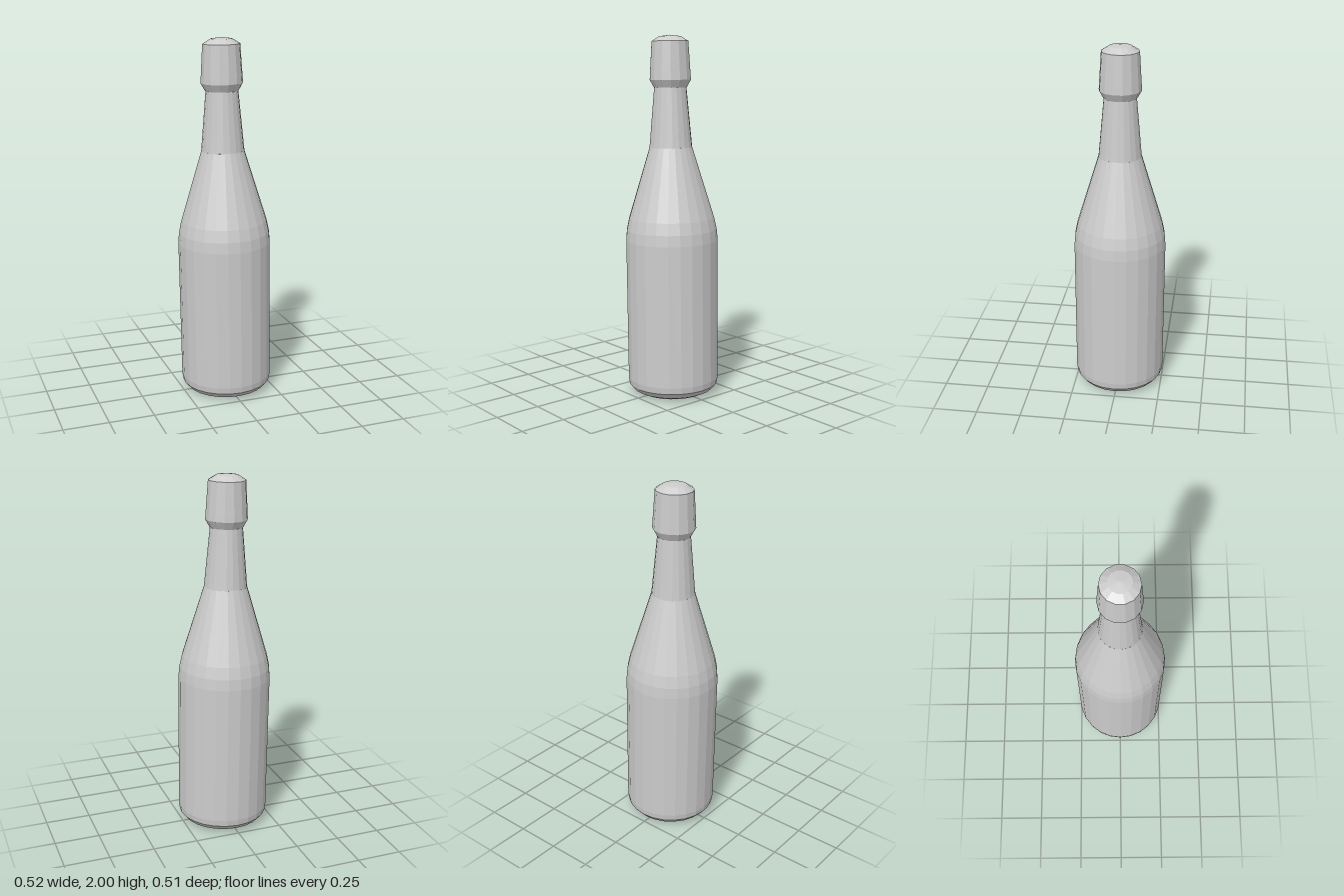
import * as THREE from 'three';

const material = new THREE.MeshStandardMaterial({ color: 0xcccccc, flatShading: true, side: THREE.DoubleSide });

// Faceted part turned from a [radius, height] profile, listed bottom to top
function turned(name, profile, sides) {
  const points = profile.map(([r, y]) => new THREE.Vector2(r, y));
  const mesh = new THREE.Mesh(new THREE.LatheGeometry(points, sides), material);
  mesh.name = name;
  return mesh;
}

export function createModel() {
  const model = new THREE.Group();
  model.name = 'bottle';

  // The whole bottle leans slightly towards -x, pivoting at mid-body
  const pivot = 0.48;
  const lean = new THREE.Group();
  lean.name = 'leaningBottle';
  lean.rotation.z = 0.015;
  lean.position.set(0.015 * pivot, 0.003, 0);
  model.add(lean);

  // Flat base, rounded heel, straight body and tapering shoulder
  lean.add(turned('body', [
    [0, 0], [0.19, 0.003], [0.225, 0.02], [0.25, 0.05], [0.255, 0.085],
    [0.257, 0.87], [0.252, 0.93], [0.238, 0.995], [0.118, 1.388], [0, 1.388],
  ], 24));

  // Narrow neck, seated on the shoulder
  lean.add(turned('neck', [[0.119, 1.38], [0.116, 1.41], [0.088, 1.72]], 20));

  // Stopper with chamfered underside and low faceted dome
  lean.add(turned('stopper', [
    [0, 1.712], [0.092, 1.714], [0.115, 1.755], [0.113, 1.79],
    [0.102, 1.963], [0.06, 1.989], [0, 1.997],
  ], 14));

  return model;
}
